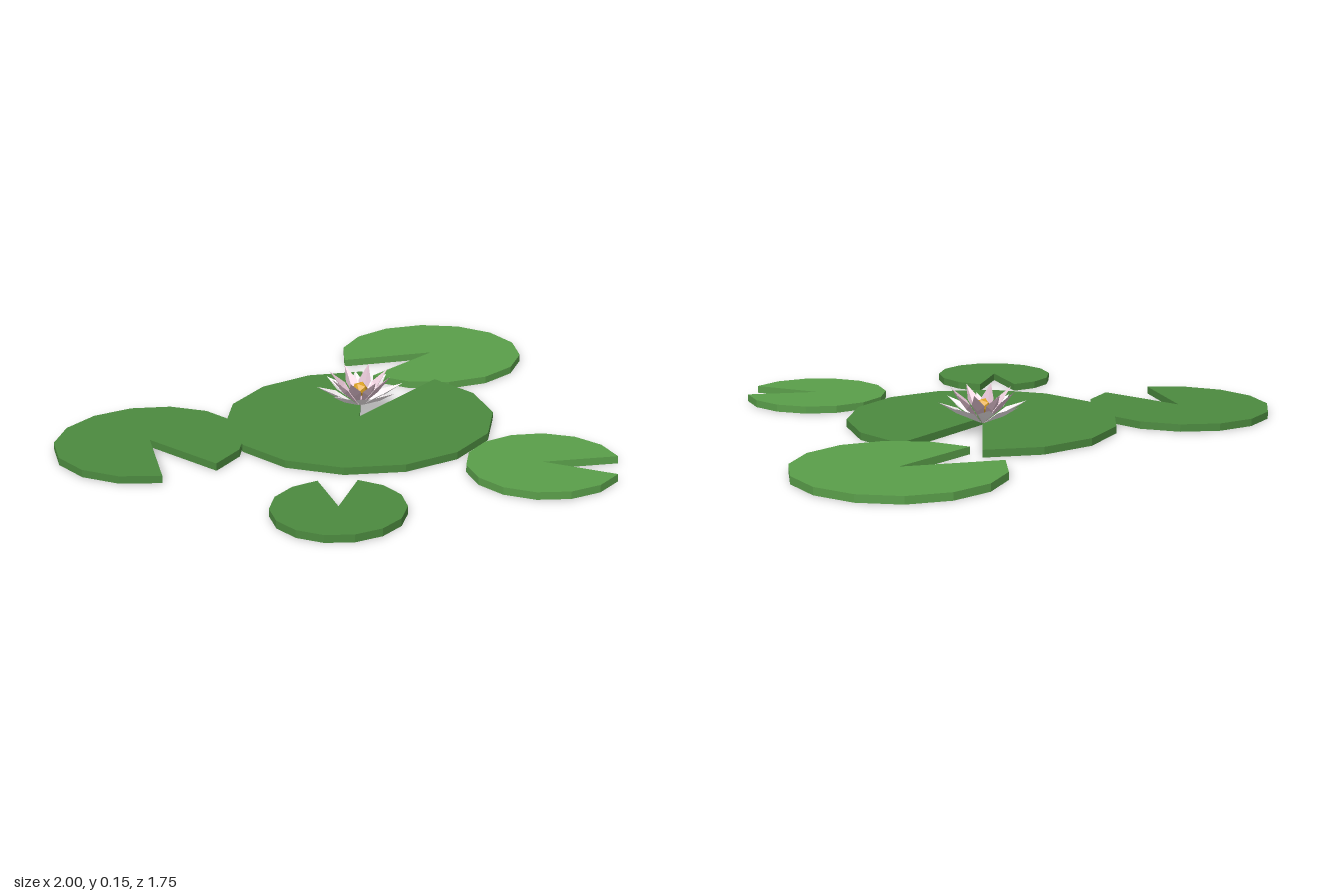
import * as THREE from 'three';

const mat = (color, side = THREE.FrontSide) =>
  new THREE.MeshStandardMaterial({ color, flatShading: true, side });

const PAD_HEIGHT = 0.026;
const NOTCH = THREE.MathUtils.degToRad(35);
const PAD_SIDES = 13;

// Thirteen-sided disc with a wedge cut to its centre; notchDeg runs from +x towards +z
function makePad(name, x, z, radius, notchDeg, material) {
  const start = THREE.MathUtils.degToRad(notchDeg) + NOTCH / 2;
  const points = [new THREE.Vector2(0, 0)];
  for (let i = 0; i <= PAD_SIDES; i++) {
    const a = start + (i / PAD_SIDES) * (Math.PI * 2 - NOTCH);
    points.push(new THREE.Vector2(radius * Math.cos(a), -radius * Math.sin(a)));
  }
  const geometry = new THREE.ExtrudeGeometry(new THREE.Shape(points), {
    depth: PAD_HEIGHT, bevelEnabled: false,
  });
  geometry.rotateX(-Math.PI / 2);
  const pad = new THREE.Mesh(geometry, material);
  pad.name = name;
  pad.position.set(x, 0, z);
  return pad;
}

// Pointed petal along +x, folded along its middle line
function petalGeometry(reach, rise, width) {
  const base = [0.005, 0, 0];
  const tip = [reach, rise, 0];
  const keel = [reach * 0.58, rise * 0.47, 0];
  const side = (s) => [reach * 0.55, rise * 0.55 + 0.008, s * width / 2];
  const l = side(-1), r = side(1);
  const geometry = new THREE.BufferGeometry();
  geometry.setAttribute('position', new THREE.Float32BufferAttribute([
    base, keel, l, keel, tip, l,
    base, r, keel, keel, r, tip,
  ].flat(), 3));
  geometry.computeVertexNormals();
  return geometry;
}

function makePetalRing(name, geometry, material, offset) {
  const ring = new THREE.Group();
  ring.name = name;
  for (let i = 0; i < 8; i++) {
    const petal = new THREE.Mesh(geometry, material);
    petal.name = 'petal';
    petal.rotation.y = offset + (i * Math.PI) / 4;
    ring.add(petal);
  }
  return ring;
}

export function createModel() {
  const model = new THREE.Group();
  model.name = 'waterLily';

  // Floating leaves
  const dark = mat(0x4c8a3f);
  const light = mat(0x5a9e4a);
  model.add(
    makePad('mainPad', -0.062, -0.125, 0.476, -19.8, dark),
    makePad('leftPad', 0.655, -0.34, 0.348, 199.7, light),
    makePad('backRightPad', -0.675, -0.553, 0.325, 110.5, dark),
    makePad('smallPad', -0.717, 0.313, 0.217, -40, dark),
    makePad('frontPad', -0.023, 0.623, 0.258, 59.2, light),
  );

  // Blossom with two staggered rings of petals
  const flower = new THREE.Group();
  flower.name = 'flower';
  flower.position.set(0.02, PAD_HEIGHT + 0.004, -0.188);
  flower.add(
    makePetalRing('outerPetals', petalGeometry(0.154, 0.076, 0.056),
      mat(0xf2ecee, THREE.DoubleSide), 0),
    makePetalRing('innerPetals', petalGeometry(0.114, 0.118, 0.046),
      mat(0xdcbccb, THREE.DoubleSide), Math.PI / 8),
  );

  // Golden centre
  const centre = new THREE.Mesh(new THREE.IcosahedronGeometry(0.029, 0), mat(0xe0a526));
  centre.name = 'flowerCentre';
  centre.position.y = 0.06;
  flower.add(centre);
  model.add(flower);

  return model;
}
